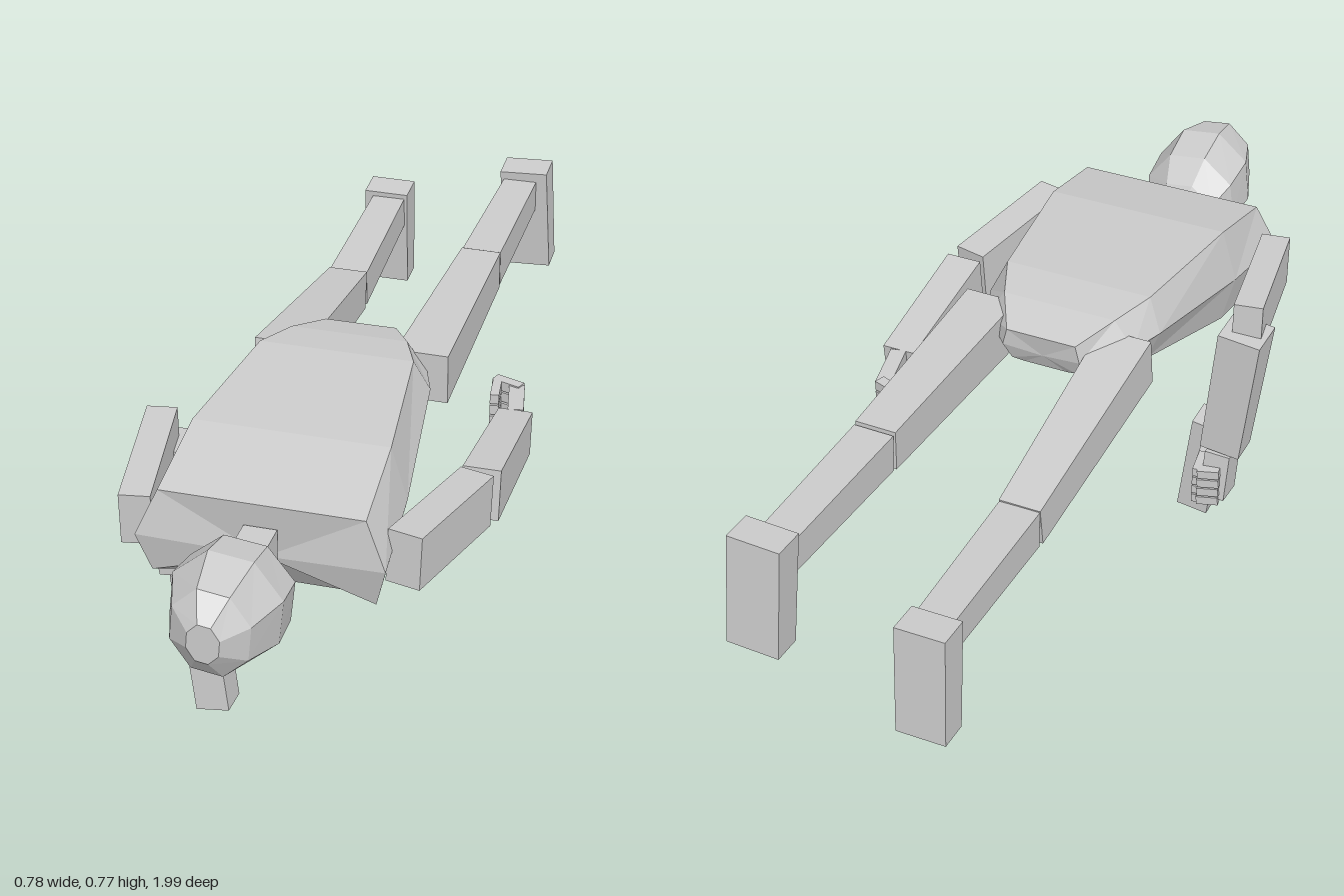
import * as THREE from 'three';

const material = new THREE.MeshStandardMaterial({ color: 0xcccccc, flatShading: true });
const V = (p) => new THREE.Vector3(...p);

// Skin closed rings of points, ordered counter-clockwise seen from +z and running towards -z; caps both ends.
function loft(name, rings) {
  const n = rings[0].length, pos = [];
  const tri = (a, b, c) => pos.push(...a, ...b, ...c);
  const centre = (r) => [0, 1, 2].map((k) => r.reduce((s, p) => s + p[k], 0) / n);
  const first = rings[0], last = rings[rings.length - 1];
  const c0 = centre(first), c1 = centre(last);
  for (let j = 0; j < n; j++) {
    const k = (j + 1) % n;
    for (let i = 0; i < rings.length - 1; i++) {
      const a = rings[i], b = rings[i + 1];
      tri(a[j], b[j], b[k]);
      tri(a[j], b[k], a[k]);
    }
    tri(c0, first[j], first[k]);
    tri(c1, last[k], last[j]);
  }
  const g = new THREE.BufferGeometry();
  g.setAttribute('position', new THREE.Float32BufferAttribute(pos, 3));
  g.computeVertexNormals();
  const mesh = new THREE.Mesh(g, material);
  mesh.name = name;
  return mesh;
}

// Tapered box from point a to point b; sizes are [across, depth] at each end, depth follows "ref".
function block(name, a, b, s0, s1 = s0, ref = [0, 1, 0]) {
  const start = V(a), end = V(b), dir = end.clone().sub(start);
  const length = dir.length();
  dir.normalize();
  const across = dir.clone().cross(V(ref)).normalize();
  const depth = across.clone().cross(dir);
  const g = new THREE.BoxGeometry(1, length, 1);
  const p = g.attributes.position;
  for (let i = 0; i < p.count; i++) {
    const s = p.getY(i) < 0 ? s0 : s1;
    p.setX(i, p.getX(i) * s[0]);
    p.setZ(i, p.getZ(i) * s[1]);
  }
  g.computeVertexNormals();
  const mesh = new THREE.Mesh(g, material);
  mesh.quaternion.setFromRotationMatrix(new THREE.Matrix4().makeBasis(across, dir, depth.negate().multiplyScalar(-1)));
  mesh.position.copy(start.add(end).multiplyScalar(0.5));
  mesh.name = name;
  return mesh;
}

function torso() {
  // Each row: half width, height, z for the back edge, flank, lower flank and belly edge
  const rows = [
    [[0.215, 0.70, 0.635], [0.26, 0.60, 0.655], [0.235, 0.505, 0.63], [0.14, 0.468, 0.545]],
    [[0.21, 0.748, 0.43], [0.245, 0.63, 0.43], [0.215, 0.515, 0.43], [0.13, 0.478, 0.42]],
    [[0.17, 0.763, 0.10], [0.203, 0.69, 0.08], [0.165, 0.60, 0.10], [0.08, 0.562, 0.12]],
    [[0.13, 0.753, 0.0], [0.175, 0.69, 0.0], [0.13, 0.63, 0.0], [0.07, 0.61, 0.0]],
    [[0.08, 0.73, -0.095], [0.09, 0.69, -0.095], [0.075, 0.65, -0.08], [0.05, 0.64, -0.07]],
  ];
  return loft('torso', rows.map((row) => [
    ...row.map(([w, y, z]) => [-w - 0.012, y, z]),
    ...[...row].reverse().map(([w, y, z]) => [w - 0.012, y, z]),
  ]));
}

function head() {
  // z, centre height, half width, half height
  const rows = [
    [0.998, 0.615, 0.035, 0.045], [0.955, 0.612, 0.085, 0.10], [0.86, 0.607, 0.12, 0.13],
    [0.77, 0.595, 0.115, 0.12], [0.715, 0.573, 0.085, 0.092], [0.695, 0.57, 0.05, 0.06],
  ];
  return loft('head', rows.map(([z, y, rx, ry]) => Array.from({ length: 8 }, (_, i) => {
    const t = ((i + 0.35) / 8) * Math.PI * 2;
    return [-0.011 + rx * Math.cos(t), y + ry * Math.sin(t), z];
  })));
}

export function createModel() {
  const model = new THREE.Group();
  model.name = 'lyingFigure';
  const forward = [0, 0, 1];

  model.add(torso(), head());
  model.add(block('neck', [-0.015, 0.605, 0.63], [-0.015, 0.605, 0.72], [0.07, 0.08]));

  // Legs
  const leg = (side, hip, knee, ankle, toeTop, toeEnd, footWidth) => {
    const g = new THREE.Group();
    g.name = side + 'Leg';
    const kneeEnd = V(knee).add(new THREE.Vector3(0, 0, -0.008)).toArray();
    g.add(block('thigh', hip, knee, [0.118, 0.115], [0.092, 0.092]));
    g.add(block('shin', kneeEnd, ankle, [0.09, 0.085], [0.08, 0.075]));
    g.add(block('foot', toeTop, toeEnd, [footWidth, 0.075], [footWidth, 0.068], forward));
    model.add(g);
  };
  leg('right', [-0.165, 0.66, 0.015], [-0.162, 0.59, -0.515], [-0.167, 0.613, -0.92],
    [-0.173, 0.665, -0.943], [-0.175, 0.415, -0.963], 0.108);
  leg('left', [0.152, 0.675, 0.005], [0.16, 0.685, -0.52], [0.167, 0.70, -0.91],
    [0.175, 0.762, -0.942], [0.187, 0.505, -0.963], 0.115);

  // Right arm, forearm reaching down
  const rightArm = new THREE.Group();
  rightArm.name = 'rightArm';
  rightArm.add(block('upperArm', [-0.29, 0.597, 0.60], [-0.345, 0.615, 0.275], [0.066, 0.118]));
  rightArm.add(block('forearm', [-0.34, 0.60, 0.288], [-0.305, 0.278, 0.283], [0.10, 0.10], [0.095, 0.078], forward));
  rightArm.add(block('palm', [-0.303, 0.272, 0.275], [-0.298, 0.155, 0.262], [0.06, 0.075], [0.06, 0.075], forward));
  for (let i = 0; i < 4; i++) {
    const y = 0.233 - i * 0.025;
    rightArm.add(block('finger', [-0.315, y, 0.23], [-0.265, y - 0.006, 0.222], [0.028, 0.021]));
    rightArm.add(block('fingertip', [-0.265, y - 0.006, 0.215], [-0.255, y - 0.006, 0.285], [0.024, 0.021]));
  }
  rightArm.add(block('thumb', [-0.29, 0.245, 0.29], [-0.265, 0.19, 0.325], [0.025, 0.025]));
  model.add(rightArm);

  // Held bar with its grip and trigger
  const held = new THREE.Group();
  held.name = 'heldBar';
  held.add(block('bar', [-0.24, 0.27, 0.373], [-0.204, 0.005, 0.388], [0.076, 0.072], [0.076, 0.072], forward));
  held.add(block('grip', [-0.265, 0.205, 0.25], [-0.245, 0.20, 0.36], [0.035, 0.06]));
  held.add(block('trigger', [-0.262, 0.12, 0.31], [-0.245, 0.125, 0.355], [0.016, 0.016]));
  model.add(held);

  // Left arm, stretched back beside the body
  const leftArm = new THREE.Group();
  leftArm.name = 'leftArm';
  leftArm.add(block('upperArm', [0.269, 0.597, 0.595], [0.342, 0.572, 0.288], [0.076, 0.117]));
  leftArm.add(block('forearm', [0.348, 0.568, 0.268], [0.347, 0.53, -0.065], [0.082, 0.115], [0.076, 0.10]));
  leftArm.add(block('palm', [0.347, 0.53, -0.07], [0.325, 0.525, -0.185], [0.035, 0.10]));
  for (let i = 0; i < 4; i++) {
    const y = 0.567 - i * 0.027;
    leftArm.add(block('finger', [0.335, y, -0.185], [0.27, y, -0.208], [0.025, 0.023]));
    leftArm.add(block('fingertip', [0.277, y, -0.205], [0.287, y, -0.125], [0.02, 0.023]));
  }
  leftArm.add(block('thumb', [0.34, 0.485, -0.09], [0.30, 0.455, -0.125], [0.028, 0.028]));
  leftArm.add(block('thumbTip', [0.30, 0.455, -0.12], [0.275, 0.475, -0.14], [0.024, 0.024]));
  model.add(leftArm);

  return model;
}
